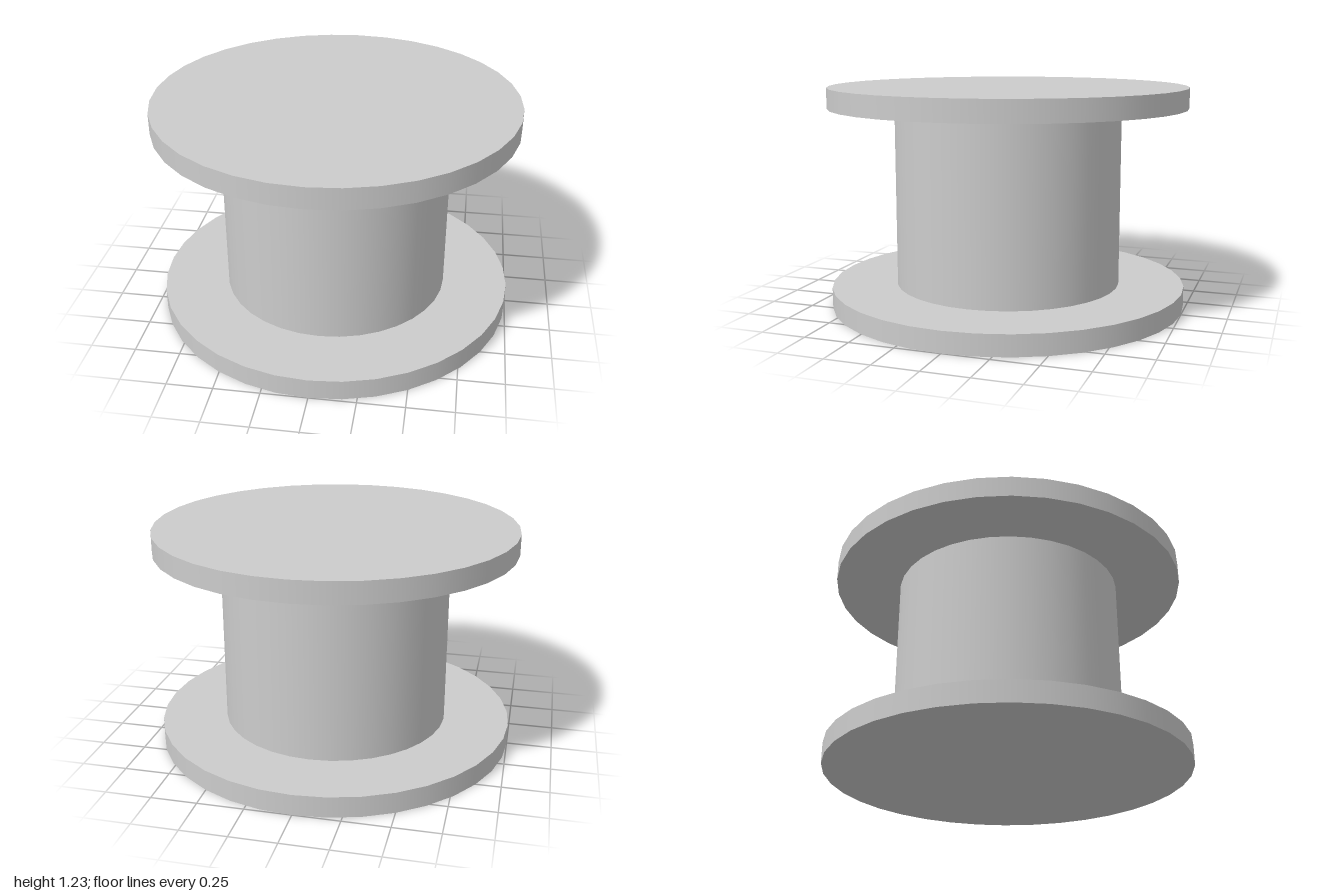
import * as THREE from 'three';

const SEGMENTS = 36;
const FLANGE_RADIUS = 1;
const FLANGE_HEIGHT = 0.115;
const CORE_RADIUS = 0.635;
const CORE_HEIGHT = 1;

export function createModel() {
  const model = new THREE.Group();
  model.name = 'spool';

  const grey = new THREE.MeshStandardMaterial({ color: 0xcccccc });
  grey.name = 'light grey';

  // Upright cylinder standing on height y
  function addCylinder(name, radius, height, y, openEnded = false) {
    const geometry = new THREE.CylinderGeometry(radius, radius, height, SEGMENTS, 1, openEnded);
    const mesh = new THREE.Mesh(geometry, grey);
    mesh.name = name;
    mesh.position.y = y + height / 2;
    model.add(mesh);
  }

  // Two wide discs with a narrower drum between them
  addCylinder('bottomFlange', FLANGE_RADIUS, FLANGE_HEIGHT, 0);
  addCylinder('core', CORE_RADIUS, CORE_HEIGHT, FLANGE_HEIGHT, true);
  addCylinder('topFlange', FLANGE_RADIUS, FLANGE_HEIGHT, FLANGE_HEIGHT + CORE_HEIGHT);

  return model;
}
